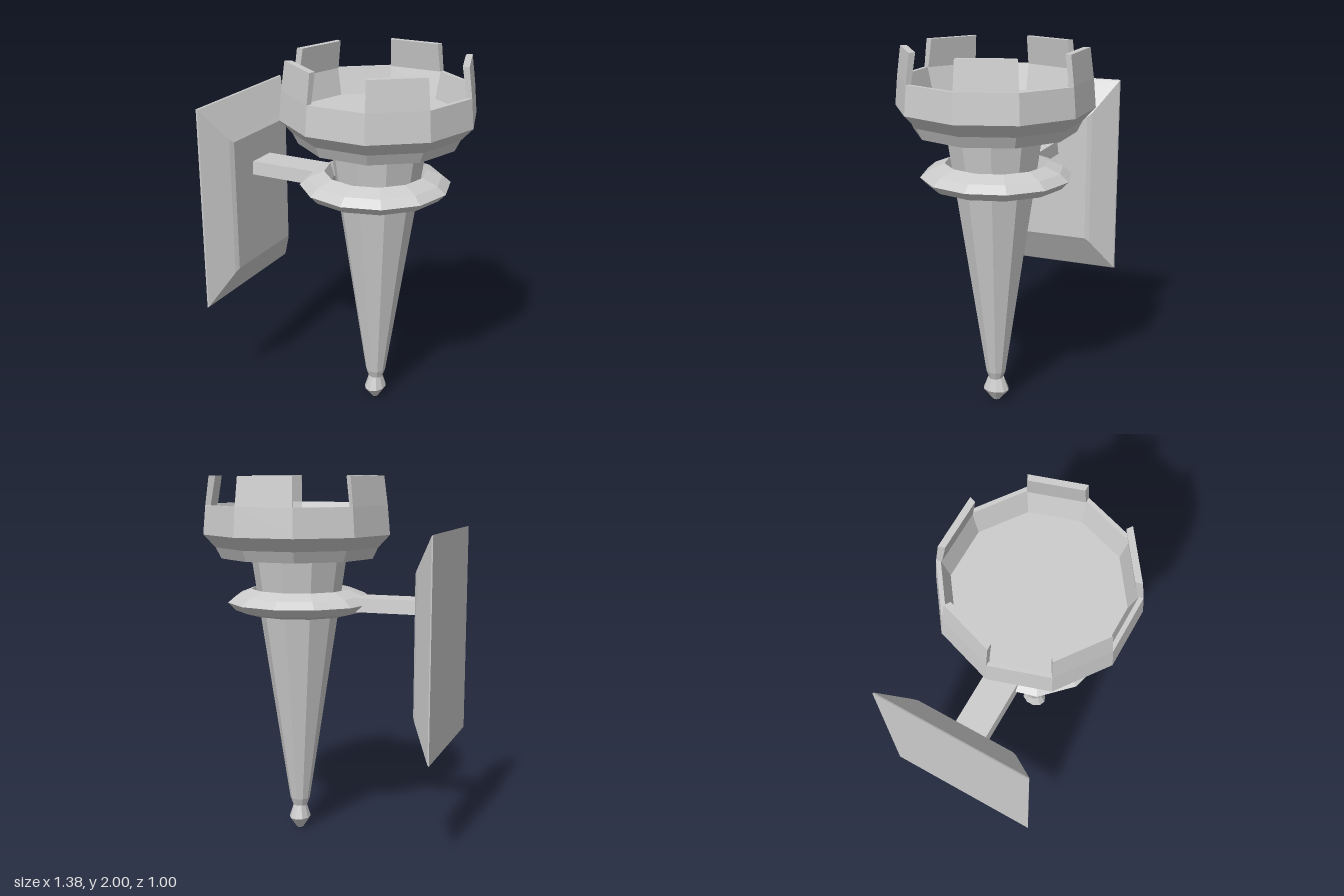
import * as THREE from 'three';

const AXIS_X = 0.165;
const material = new THREE.MeshStandardMaterial({ color: 0xcccccc, flatShading: true });

function addMesh(parent, name, geometry) {
  const mesh = new THREE.Mesh(geometry, material);
  mesh.name = name;
  parent.add(mesh);
  return mesh;
}

// Faceted solid of revolution from [radius, height] pairs, bottom to top on the outside
function turned(profile, sides, start = 0) {
  return new THREE.LatheGeometry(profile.map(([r, y]) => new THREE.Vector2(r, y)), sides, start);
}

// Closed solid through matching rings, each counterclockwise as seen from the last ring's end
function loft(rings) {
  const out = [];
  const tri = (...pts) => pts.forEach((p) => out.push(...p));
  const n = rings[0].length;
  for (let i = 0; i < rings.length - 1; i++) {
    for (let j = 0; j < n; j++) {
      const k = (j + 1) % n;
      const a = rings[i][j], b = rings[i][k], c = rings[i + 1][k], d = rings[i + 1][j];
      tri(a, b, c);
      tri(a, c, d);
    }
  }
  const first = rings[0], last = rings[rings.length - 1];
  for (let j = 1; j < n - 1; j++) {
    tri(first[0], first[j + 1], first[j]);
    tri(last[0], last[j], last[j + 1]);
  }
  const geometry = new THREE.BufferGeometry();
  geometry.setAttribute('position', new THREE.Float32BufferAttribute(out, 3));
  geometry.computeVertexNormals();
  return geometry;
}

export function createModel() {
  const model = new THREE.Group();
  model.name = 'wallTorch';

  const torch = new THREE.Group();
  torch.name = 'torch';
  torch.position.x = AXIS_X;
  model.add(torch);

  // Tapered ten-sided handle
  addMesh(torch, 'handle', turned([
    [0, 0.13], [0.04, 0.135], [0.056, 0.18], [0.217, 1.25], [0.264, 1.57],
  ], 10));

  // Small pointed knob, a little deeper than wide
  addMesh(torch, 'finial', turned([
    [0, 0], [0.018, 0.002], [0.059, 0.065], [0.037, 0.137], [0, 0.137],
  ], 10)).scale.z = 1.27;

  // Loose collar ring around the handle, set slightly towards the wall
  addMesh(torch, 'collar', turned([
    [0.25, 1.315], [0.285, 1.25], [0.365, 1.272], [0.407, 1.315],
    [0.36, 1.354], [0.275, 1.388], [0.25, 1.315],
  ], 12)).position.x = -0.013;

  // Cup: underside, flared outside, thin rim, sloping inner wall and floor
  const cup = new THREE.Group();
  cup.name = 'cup';
  cup.position.x = 0.005;
  torch.add(cup);
  addMesh(cup, 'bowl', turned([
    [0, 1.56], [0.428, 1.56], [0.458, 1.62], [0.524, 1.69], [0.51, 1.845],
    [0.486, 1.845], [0.447, 1.7], [0, 1.7],
  ], 10, Math.PI / 2));

  // Battlements on every other side of the rim
  const step = Math.PI / 5;
  const onRim = (r, y, t) => [r * Math.cos(t), y, -r * Math.sin(t)];
  for (let i = 0; i < 5; i++) {
    const t0 = 2 * i * step, t1 = t0 + step;
    const ring = (outer, inner, y) => [
      onRim(outer, y, t0), onRim(outer, y, t1), onRim(inner, y, t1), onRim(inner, y, t0),
    ];
    addMesh(cup, 'battlement', loft([ring(0.51, 0.48, 1.845), ring(0.489, 0.453, 2)]));
  }

  // Flat bracket arm, slightly wider underneath
  const armRing = (x) => [
    [-0.096, 1.28], [0.096, 1.28], [0.088, 1.355], [-0.088, 1.355],
  ].map(([u, y]) => [x, y, -u]);
  addMesh(model, 'bracketArm', loft([armRing(-0.6), armRing(-0.12)]));

  // Bevelled wall plate
  const plateRing = (x, halfZ, y0, y1) => [
    [x, y0, halfZ], [x, y0, -halfZ], [x, y1, -halfZ], [x, y1, halfZ],
  ];
  addMesh(model, 'wallPlate', loft([
    plateRing(-0.69, 0.427, 0.563, 1.722),
    plateRing(-0.682, 0.424, 0.568, 1.717),
    plateRing(-0.578, 0.295, 0.75, 1.537),
    plateRing(-0.565, 0.27, 0.772, 1.515),
  ]));

  return model;
}
